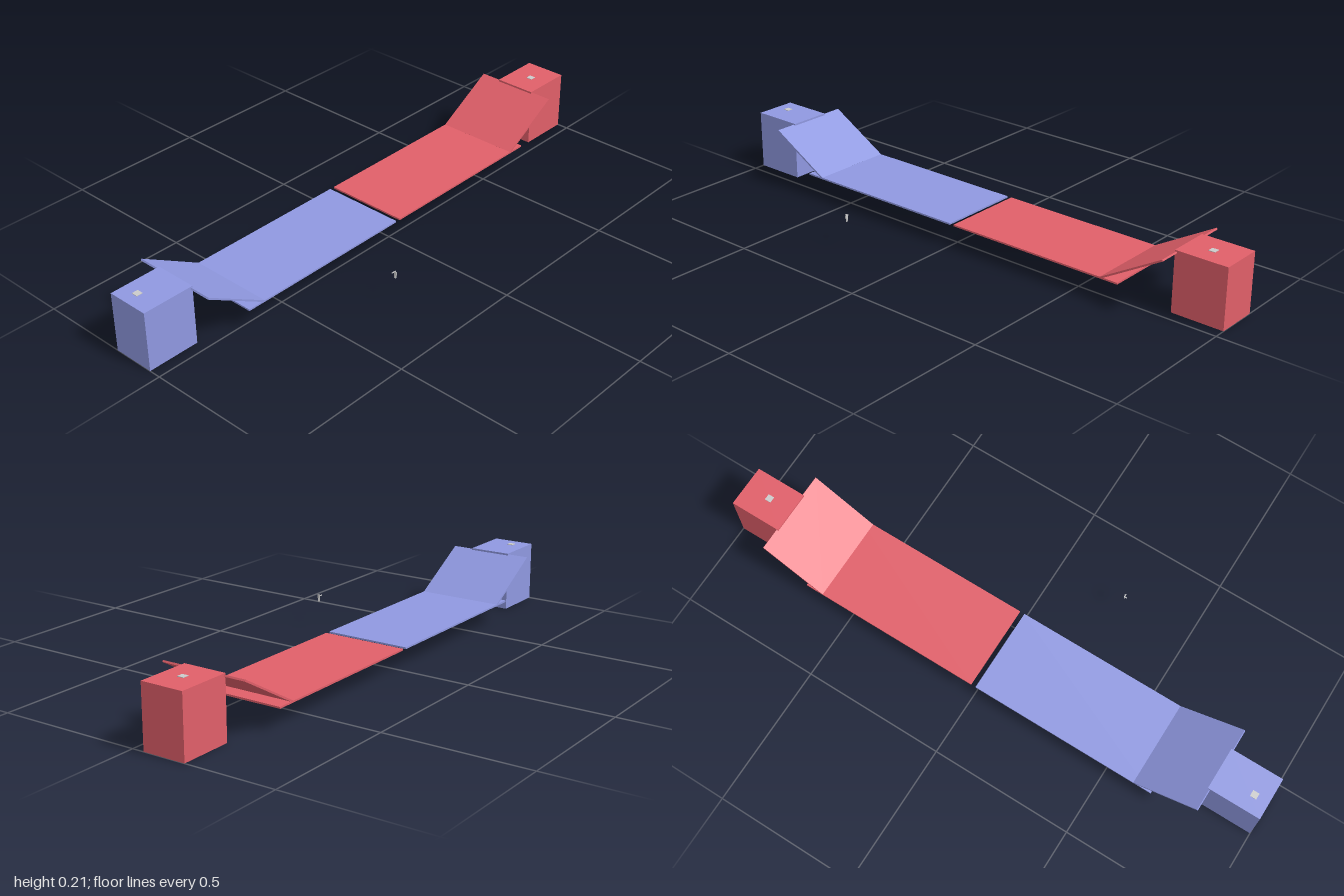
import * as THREE from 'three';

const material = (color) => new THREE.MeshStandardMaterial({ color });

function addBox(parent, name, size, position, mat) {
  const mesh = new THREE.Mesh(new THREE.BoxGeometry(...size), mat);
  mesh.name = name;
  mesh.position.set(...position);
  parent.add(mesh);
  return mesh;
}

// One half of the course: tower block, sloped ramp, flat deck and spawn pad.
// side is +1 for the front half, -1 for the back half.
function createHalf(name, side, color, deckStart, padX, padZ, grey) {
  const half = new THREE.Group();
  half.name = name;
  const paint = material(color);
  const deckEnd = 0.668, deckLength = deckEnd - deckStart;

  addBox(half, 'tower', [0.149, 0.209, 0.184], [-0.115, 0.1045, side * 0.908], paint);
  addBox(half, 'deck', [0.301, 0.006, deckLength], [-0.115, 0.0765, side * (deckStart + deckLength / 2)], paint);
  const ramp = addBox(half, 'ramp', [0.301, 0.006, 0.252], [-0.115, 0.14, side * 0.714], paint);
  ramp.rotation.x = -side * Math.PI / 6;
  addBox(half, 'spawnPad', [0.022, 0.002, 0.022], [padX, 0.21, side * padZ], grey);
  return half;
}

// Tiny blocky figure with its right arm held out to the front.
function createFigure(grey) {
  const figure = new THREE.Group();
  figure.name = 'figure';
  for (const s of [-1, 1]) {
    addBox(figure, s > 0 ? 'leftLeg' : 'rightLeg', [0.0028, 0.012, 0.003], [s * 0.0016, 0.006, 0], grey);
  }
  addBox(figure, 'torso', [0.006, 0.011, 0.003], [0, 0.0175, 0], grey);
  addBox(figure, 'head', [0.0034, 0.0035, 0.0034], [0, 0.02475, 0], grey);
  addBox(figure, 'leftArm', [0.0028, 0.011, 0.003], [0.0045, 0.0175, 0], grey);
  addBox(figure, 'rightArm', [0.0028, 0.003, 0.0115], [-0.0045, 0.0212, 0.0043], grey);
  figure.position.set(0.259, 0.087, 0.258);
  return figure;
}

export function createModel() {
  const model = new THREE.Group();
  model.name = 'rampCourse';
  const grey = material(0xcccccc);
  model.add(
    createHalf('frontHalf', 1, 0x8f98e0, 0.004, -0.131, 0.949, grey),
    createHalf('backHalf', -1, 0xe05f69, 0.013, -0.111, 0.906, grey),
    createFigure(grey)
  );
  return model;
}
